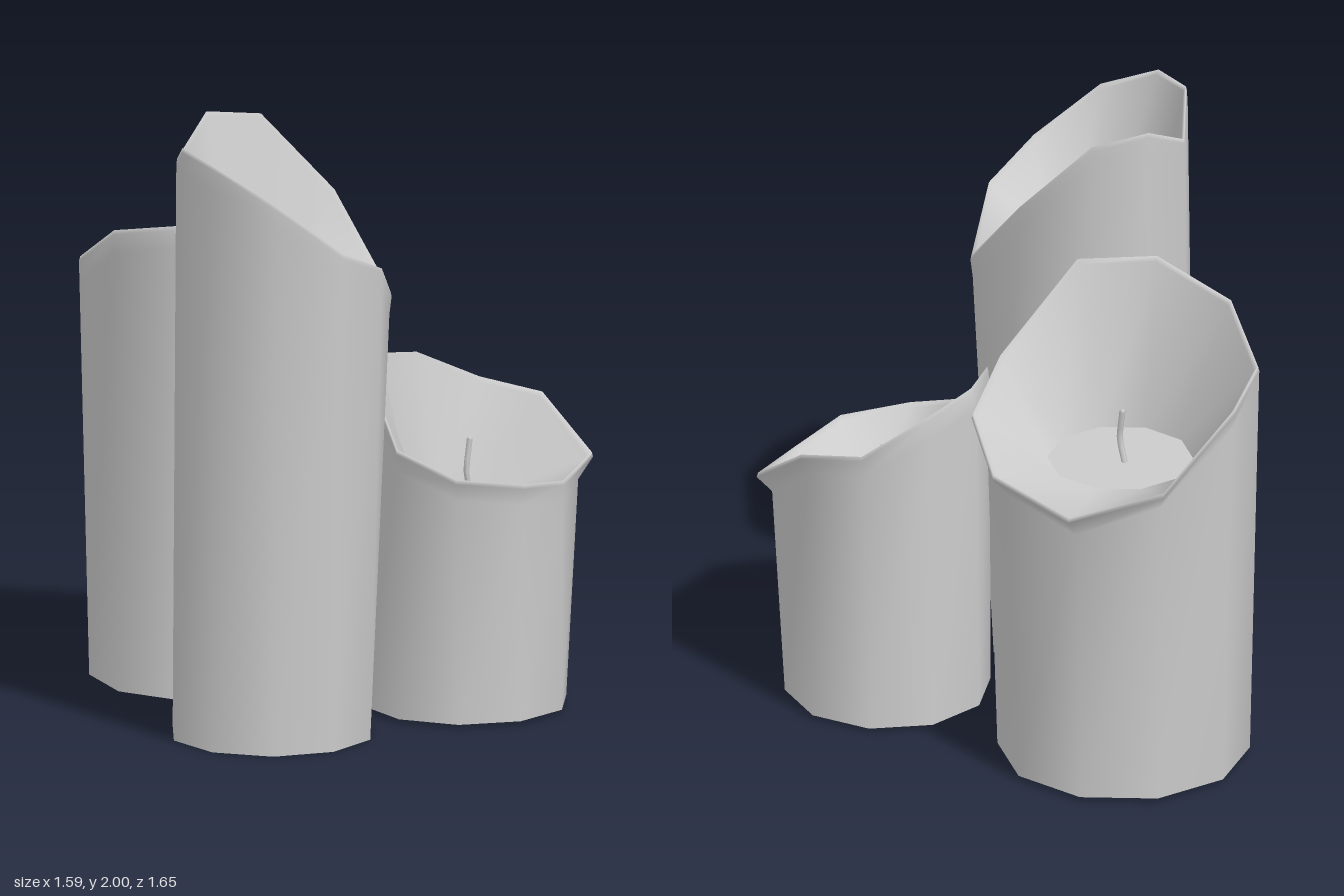
import * as THREE from 'three';

// Each candle: base centre, radius and first corner angle, foot height, flare of the wall below the lip,
// floor of the hollow [x, y, z, radius], wick top and lean, and rim points [x, y, z, own flare]
const CANDLES = [
  {
    name: 'tallCandle', cx: -0.33, cz: 0.463, radius: 0.335, turn: -80, foot: 0, flare: 0.9,
    floor: [-0.345, 1.45, 0.44, 0.178], wickTop: [-0.345, 1.74, 0.43], lean: [0.009, -0.012],
    rim: [
      [-0.29, 1.975, 0.08], [-0.06, 1.73, 0.16], [0.078, 1.44, 0.41], [0, 1.58, 0.66], [-0.16, 1.67, 0.815],
      [-0.38, 1.84, 0.825], [-0.56, 1.95, 0.69], [-0.635, 1.975, 0.505], [-0.61, 1.89, 0.29], [-0.48, 2, 0.12],
    ],
  },
  {
    name: 'wideCandle', cx: -0.36, cz: -0.33, radius: 0.41, turn: -101, foot: 0.015, flare: 0.4,
    floor: [-0.35, 1.05, -0.325, 0.238], wickTop: [-0.355, 1.23, -0.345], lean: [0.008, 0.011],
    rim: [
      [-0.45, 1.16, -0.825], [-0.145, 1.05, -0.76], [0.085, 1.11, -0.54], [0.13, 1.2, -0.265], [0.02, 1.285, -0.015],
      [-0.24, 1.59, 0.055], [-0.5, 1.6, 0.035], [-0.725, 1.54, -0.19, 0.8], [-0.795, 1.405, -0.41, 0.95],
      [-0.7, 1.365, -0.64, 0.7],
    ],
  },
  {
    name: 'shortCandle', cx: 0.365, cz: 0.192, radius: 0.337, turn: -75, foot: 0.01, flare: 0.45,
    floor: [0.365, 0.68, 0.18, 0.182], wickTop: [0.383, 0.88, 0.172], lean: [-0.012, 0.004],
    rim: [
      [0.48, 1.005, -0.16], [0.67, 0.97, -0.055], [0.795, 0.81, 0.15], [0.65, 0.78, 0.4], [0.49, 0.81, 0.555],
      [0.26, 0.84, 0.57], [0.09, 0.915, 0.43], [0.035, 1.13, 0.22], [0.105, 1.145, 0.03], [0.26, 1.11, -0.105],
    ],
  },
];

const wax = new THREE.MeshStandardMaterial({ color: 0xcccccc, side: THREE.DoubleSide });

// Smooth skin through closed rings of equal point count
function loft(rings) {
  const n = rings[0].length;
  const index = [];
  for (let j = 0; j < rings.length - 1; j++) {
    for (let i = 0; i < n; i++) {
      const k = (i + 1) % n;
      const a = j * n + i, b = j * n + k, c = a + n, d = b + n;
      index.push(a, c, b, b, c, d);
    }
  }
  const geometry = new THREE.BufferGeometry();
  geometry.setAttribute('position', new THREE.Float32BufferAttribute(rings.flat(2), 3));
  geometry.setIndex(index);
  geometry.computeVertexNormals();
  return geometry;
}

function part(name, geometry) {
  const mesh = new THREE.Mesh(geometry, wax);
  mesh.name = name;
  return mesh;
}

function createCandle({ name, cx, cz, radius, turn, foot, flare, floor, wickTop, lean, rim }) {
  const group = new THREE.Group();
  group.name = name;

  // Regular ring with one corner under each rim point
  const circle = (x, y, z, r) => rim.map((_, i) => {
    const t = THREE.MathUtils.degToRad(turn + (i * 360) / rim.length);
    return [x + r * Math.cos(t), y, z + r * Math.sin(t)];
  });
  // Ring that follows the rim, scaled toward the axis and lowered
  const follow = (scale, drop) => rim.map(([x, y, z]) => [cx + (x - cx) * scale, y - drop, cz + (z - cz) * scale]);

  const base = circle(cx, foot, cz, radius);
  const neck = rim.map(([x, y, z, own = flare], i) => [
    THREE.MathUtils.lerp(base[i][0], x, own), y - 0.075, THREE.MathUtils.lerp(base[i][2], z, own),
  ]);
  const [fx, floorY, fz, floorRadius] = floor;
  const floorRing = circle(fx, floorY, fz, floorRadius);

  // Outer wall with open foot, flared lip and sloping hollow
  group.add(part('waxBody', loft([base, neck, follow(1, 0.015), follow(0.99, 0), follow(0.96, 0.015), floorRing])));

  // Flat wax around the wick
  group.add(part('waxFloor', loft([floorRing, circle(fx, floorY, fz, 0.001)])));

  // Bent wick
  const [wx, wy, wz] = wickTop;
  const [lx, lz] = lean;
  const h = wy - floorY;
  const path = new THREE.CatmullRomCurve3([
    new THREE.Vector3(wx - lx, floorY - 0.01, wz - lz),
    new THREE.Vector3(wx + lx, floorY + h * 0.45, wz + lz),
    new THREE.Vector3(wx + lx * 0.5, floorY + h * 0.75, wz + lz * 0.5),
    new THREE.Vector3(wx, wy, wz),
  ]);
  group.add(part('wick', new THREE.TubeGeometry(path, 6, 0.01, 6)));
  const tip = part('wickTip', new THREE.SphereGeometry(0.01, 6, 4));
  tip.position.set(wx, wy - 0.003, wz);
  group.add(tip);
  return group;
}

export function createModel() {
  const model = new THREE.Group();
  model.name = 'candleTrio';
  CANDLES.forEach((candle) => model.add(createCandle(candle)));
  return model;
}
